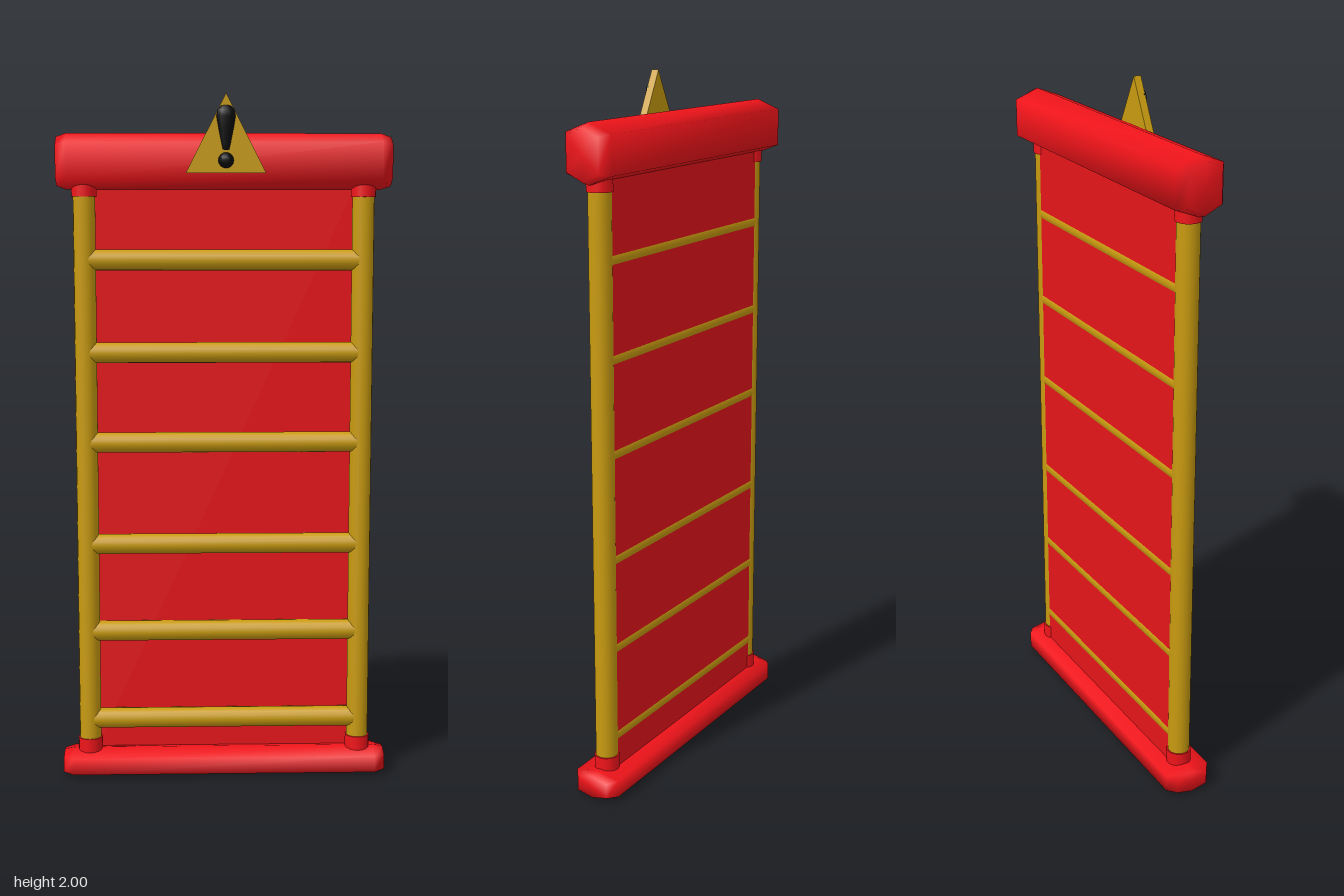
import * as THREE from 'three';

const paint = (color) => new THREE.MeshStandardMaterial({ color });
const red = paint(0xf0141a), yellow = paint(0xc99b10), black = paint(0x0a0a0a);
const panelRed = paint(0xe8151a);
panelRed.side = THREE.DoubleSide;

const Z = -0.02; // depth of the ladder's centre line

// Smooth six-sided bar along x with narrowed ends
function hexBar(height, depth) {
  const section = [[1, 0], [0.66, 1], [-0.66, 1], [-1, 0], [-0.66, -1], [0.66, -1]];
  const rings = [[-0.48, 0.87, 0.7], [-0.45, 1, 1], [0.45, 1, 1], [0.48, 0.87, 0.7]];
  const pos = [], idx = [];
  for (const [x, sy, sz] of rings)
    for (const [y, z] of section) pos.push(x, y * sy * height / 2, z * sz * depth / 2);
  pos.push(-0.48, 0, 0, 0.48, 0, 0);
  for (let j = 0; j < 6; j++) {
    const k = (j + 1) % 6;
    for (let i = 0; i < 3; i++) {
      const a = i * 6 + j, b = i * 6 + k;
      idx.push(a, b, a + 6, b, b + 6, a + 6);
    }
    idx.push(24, k, j, 25, 18 + j, 18 + k);
  }
  const geo = new THREE.BufferGeometry();
  geo.setAttribute('position', new THREE.Float32BufferAttribute(pos, 3));
  geo.setIndex(idx);
  geo.computeVertexNormals();
  return geo;
}

export function createModel() {
  const model = new THREE.Group();
  const add = (name, geo, mat, x, y, z) => {
    const mesh = new THREE.Mesh(geo, mat);
    mesh.name = name;
    mesh.position.set(x, y, z);
    model.add(mesh);
    return mesh;
  };

  // Header and foot bars
  add('topBar', hexBar(0.16, 0.14), red, 0, 1.815, Z);
  add('bottomBar', hexBar(0.075, 0.14), red, 0, 0.0375, Z);

  // Side posts with a collar at each end
  for (const side of [-1, 1]) {
    const x = side * 0.402;
    const name = side > 0 ? 'left' : 'right';
    add(name + 'Post', new THREE.CylinderGeometry(0.032, 0.032, 1.72, 16), yellow, x, 0.91, Z);
    add(name + 'LowerCollar', new THREE.CylinderGeometry(0.036, 0.036, 0.06, 16), red, x, 0.08, Z);
    add(name + 'UpperCollar', new THREE.CylinderGeometry(0.036, 0.036, 0.06, 16), red, x, 1.745, Z);
  }

  // Rungs
  for (const y of [0.167, 0.436, 0.7, 1.003, 1.267, 1.535]) {
    const rung = add('rung', new THREE.CylinderGeometry(0.03, 0.03, 0.8, 16), yellow, 0, y, Z);
    rung.rotation.z = Math.PI / 2;
  }

  // Thin backing sheet, set towards the back of the rungs
  add('backPanel', new THREE.PlaneGeometry(0.79, 1.74), panelRed, 0, 0.91, Z - 0.0275);

  // Triangular warning plate
  const triangle = new THREE.Shape([
    new THREE.Vector2(-0.11, 1.78), new THREE.Vector2(0.116, 1.78), new THREE.Vector2(0.003, 2),
  ]);
  const plate = new THREE.ExtrudeGeometry(triangle, { depth: 0.022, bevelEnabled: false });
  add('warningPlate', plate, yellow, 0, 0, 0.049);

  // Exclamation mark: tapered stroke and round dot
  const profile = [[0, 0], [0.01, 0.003], [0.014, 0.02], [0.022, 0.06], [0.028, 0.095],
    [0.025, 0.112], [0.015, 0.123], [0, 0.126]].map(([r, y]) => new THREE.Vector2(r, y));
  const stroke = add('markStroke', new THREE.LatheGeometry(profile, 12), black, 0.003, 1.842, 0.069);
  stroke.scale.z = 0.5;
  add('markDot', new THREE.SphereGeometry(0.022, 12, 8), black, 0.003, 1.815, 0.072);

  return model;
}
